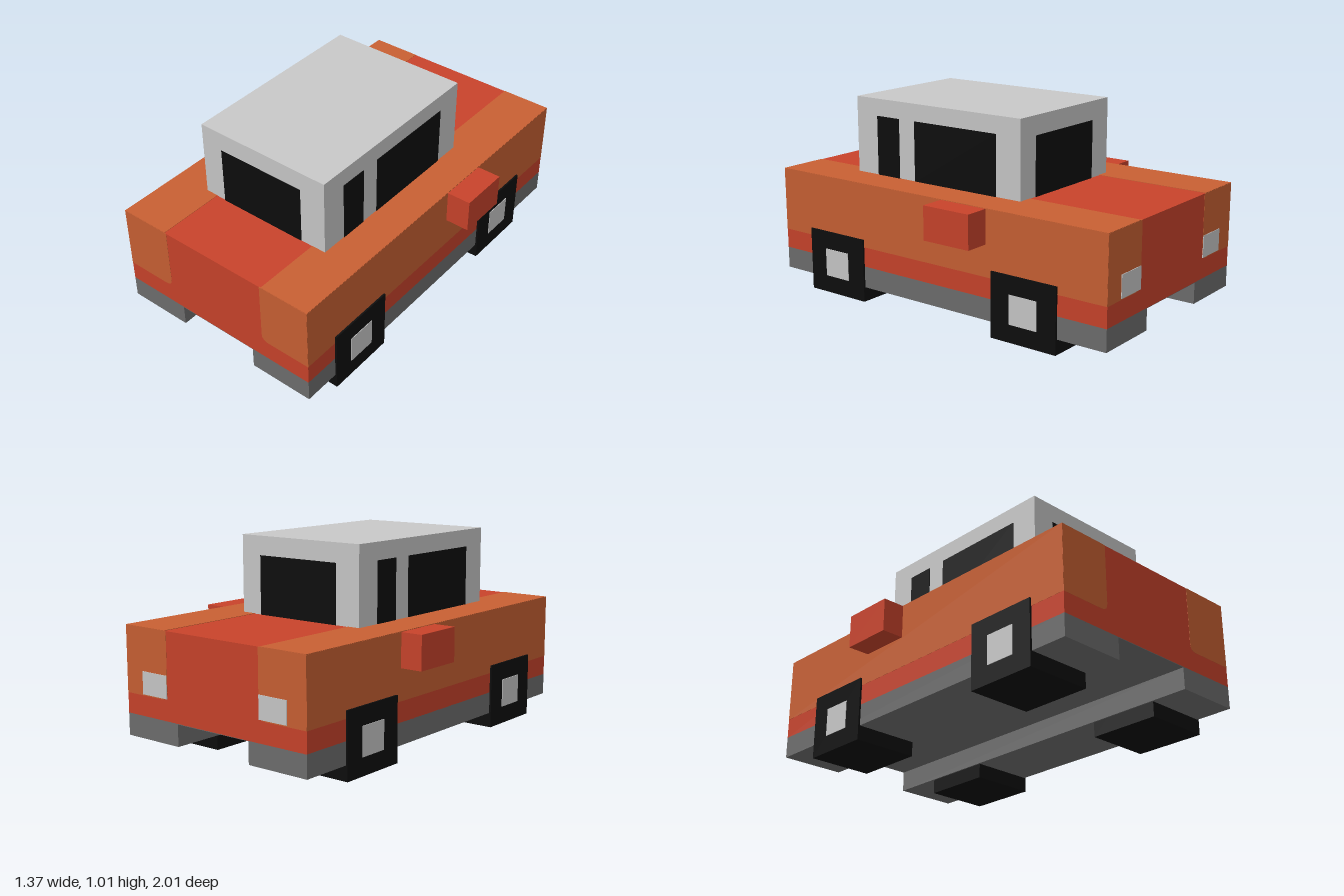
import * as THREE from 'three';

const mat = (name, color) => Object.assign(new THREE.MeshStandardMaterial({ color }), { name });

export function createModel() {
  const red = mat('red paint', 0xc9432b);
  const orange = mat('orange paint', 0xc96033);
  const silver = mat('light grey', 0xc9c9c9);
  const grey = mat('chassis grey', 0x6e6e6e);
  const black = mat('black', 0x0d0d0d);

  const model = new THREE.Group();
  model.name = 'car';
  const T = 0.004; // thickness of painted plates

  // Box given by its limits on each axis
  const box = (name, material, [x0, x1], [y0, y1], [z0, z1], parent = model) => {
    const mesh = new THREE.Mesh(new THREE.BoxGeometry(x1 - x0, y1 - y0, z1 - z0), material);
    mesh.position.set((x0 + x1) / 2, (y0 + y1) / 2, (z0 + z1) / 2);
    mesh.name = name;
    parent.add(mesh);
    return mesh;
  };
  // Limits mirrored to the given side
  const span = (side, a, b) => (side > 0 ? [a, b] : [-b, -a]);

  // Lower car, set slightly off centre
  const lower = new THREE.Group();
  lower.name = 'lowerCar';
  lower.position.x = -0.005;
  model.add(lower);
  const W = 0.565;
  box('body', red, [-W, W], [0.185, 0.616], [-1, 1], lower);
  box('underside', grey, [-W, W], [0.183, 0.186], [-1, 1], lower);

  // Orange corner panel with one rounded lower inner corner
  const panel = new THREE.Shape();
  panel.moveTo(W, 0.616);
  panel.lineTo(0.29, 0.616);
  panel.lineTo(0.29, 0.325);
  panel.quadraticCurveTo(0.29, 0.287, 0.328, 0.287);
  panel.lineTo(W, 0.287);
  const panelGeometry = new THREE.ExtrudeGeometry(panel, { depth: T, bevelEnabled: false, curveSegments: 4 });

  for (const s of [1, -1]) {
    // Paint on the flanks, the top edges and the corners
    box('sidePaint', orange, span(s, W - T, W + 0.001), [0.287, 0.616], [-1, 1], lower);
    box('topPaint', orange, span(s, 0.3, W), [0.613, 0.618], [-1, 1], lower);
    for (const end of [0, Math.PI]) {
      const corner = new THREE.Mesh(panelGeometry, orange);
      corner.name = 'cornerPaint';
      // Both ends: mirror across the width by turning the plate over
      const front = end === 0;
      corner.rotation.y = s > 0 ? 0 : Math.PI;
      corner.position.z = (front ? 1 : -1) * 0.999 + (s > 0 ? -T / 2 : T / 2);
      lower.add(corner);
    }

    // Tail lights
    box('tailLight', silver, span(s, 0.292, 0.455), [0.293, 0.405], [-1.004, -0.999], lower);

    // Chassis rails
    box('rail', grey, span(s, 0.225, W), [0.075, 0.185], [-1, 1], lower);

    // Square wheels with hub plates
    for (const z of [0.625, -0.555]) {
      box('wheel', black, span(s, 0.232, 0.575), [0, 0.326], [z - 0.184, z + 0.184], lower);
      box('hub', silver, span(s, 0.574, 0.578), [0.09, 0.235], [z - 0.078, z + 0.078], lower);
    }

    // Side boxes
    box('sideMirror', red, span(s, 0.55, 0.686), [0.445, 0.615], [-0.335, -0.068]);
  }

  // Cabin
  const cabin = new THREE.Group();
  cabin.name = 'cabin';
  cabin.position.z = 0.125;
  model.add(cabin);
  const hw = 0.37, hl = 0.518;
  box('cabinShell', silver, [-hw, hw], [0.61, 1.01], [-hl, hl], cabin);

  // Windows on two faces, repeated by a half turn for the other two
  for (const turn of [0, Math.PI]) {
    const glass = new THREE.Group();
    glass.name = 'windows';
    glass.rotation.y = turn;
    cabin.add(glass);
    box('endWindow', black, [-0.25, 0.23], [0.612, 0.913], [hl - 0.001, hl + T - 0.001], glass);
    box('smallSideWindow', black, [hw - 0.001, hw + T - 0.001], [0.612, 0.922], [0.235, 0.38], glass);
    box('largeSideWindow', black, [hw - 0.001, hw + T - 0.001], [0.612, 0.922], [-0.375, 0.133], glass);
  }
  return model;
}
